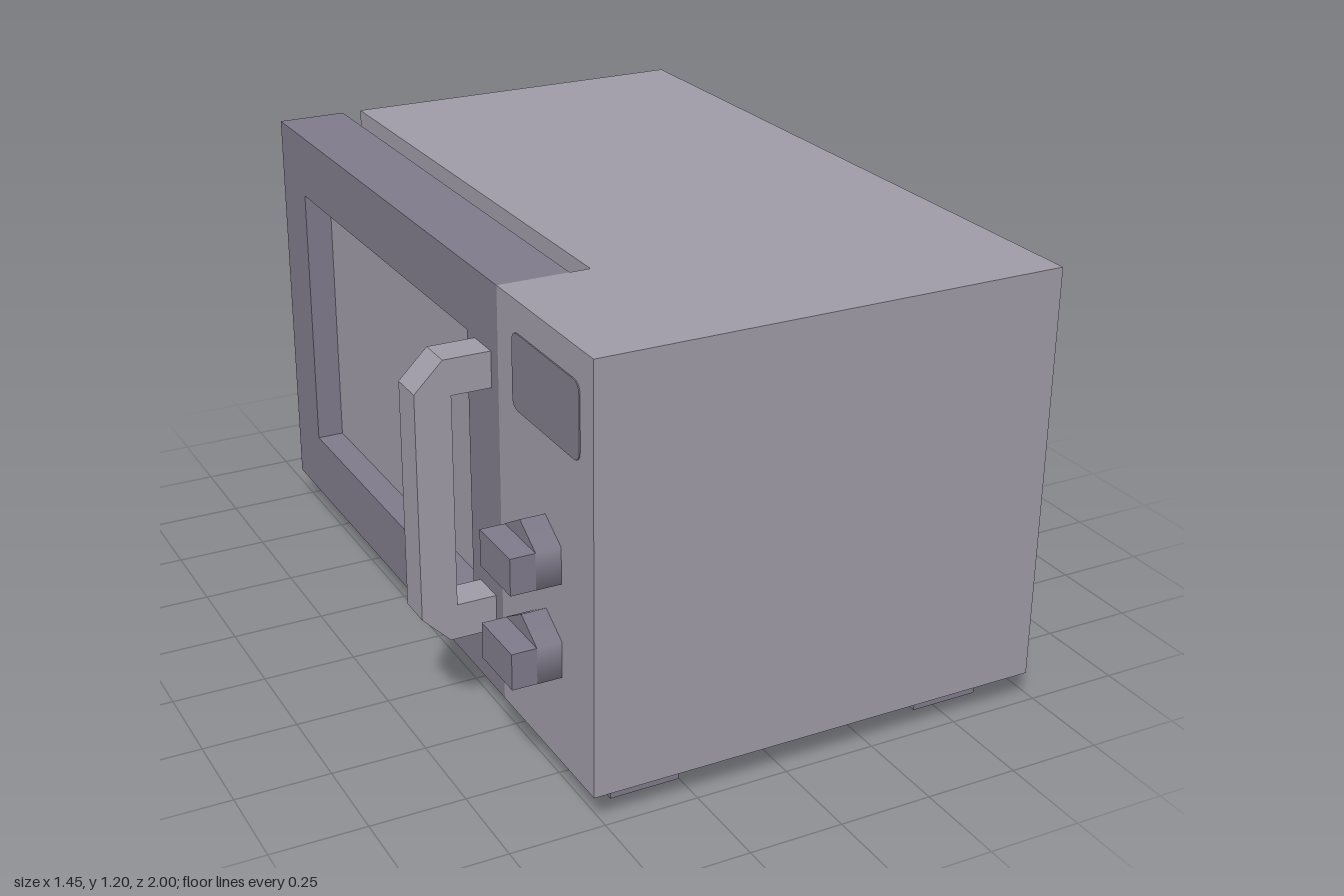
import * as THREE from 'three';

const mat = (name, hex) => {
  const m = new THREE.MeshStandardMaterial({ color: hex });
  m.name = name;
  return m;
};

export function createModel() {
  const group = new THREE.Group();
  const light = mat('lightGrey', 0x9f9ba7);
  const dark = mat('darkGrey', 0x7f7a8a);

  const add = (name, geometry, material) => {
    const mesh = new THREE.Mesh(geometry, material);
    mesh.name = name;
    group.add(mesh);
    return mesh;
  };
  // box from its minimum and maximum corners
  const block = (x0, x1, y0, y1, z0, z1) =>
    new THREE.BoxGeometry(x1 - x0, y1 - y0, z1 - z0)
      .translate((x0 + x1) / 2, (y0 + y1) / 2, (z0 + z1) / 2);
  const polygon = (pts) => new THREE.Shape(pts.map(([a, b]) => new THREE.Vector2(a, b)));
  const rect = (a0, a1, b0, b1) => [[a0, b0], [a1, b0], [a1, b1], [a0, b1]];
  // shape drawn in (z, y), extruded from xBack towards -x
  const panel = (shape, xBack, depth) =>
    new THREE.ExtrudeGeometry(shape, { depth, bevelEnabled: false, curveSegments: 4 })
      .rotateY(-Math.PI / 2).translate(xBack, 0, 0);

  const bottom = 0.085, top = 1.2, face = -0.53, doorBack = -0.34, wall = -0.285;

  // casing: L-shaped plan, with the control column beside the door
  const plan = polygon([[0.72, -1], [0.72, 1], [wall, 1], [wall, -0.5], [face, -0.5], [face, -1]]);
  add('casing', new THREE.ExtrudeGeometry(plan, { depth: top - bottom, bevelEnabled: false })
    .rotateX(-Math.PI / 2).translate(0, bottom, 0), light);

  // door frame with window opening
  const frame = polygon(rect(-1, 0.5, bottom, top));
  frame.holes.push(new THREE.Path(rect(-0.825, 0.32, 0.265, 1.025).map(([a, b]) => new THREE.Vector2(a, b))));
  add('doorFrame', panel(frame, doorBack, doorBack - face), dark);
  add('windowPane', block(-0.455, -0.447, 0.26, 1.03, -0.83, 0.325), light);

  // door back, tapering towards the casing
  const taper = block(doorBack, wall, bottom, top, -1, 0.5);
  const p = taper.attributes.position;
  const midY = (bottom + top) / 2;
  for (let i = 0; i < p.count; i++) {
    if (p.getX(i) > -0.3) {
      p.setY(i, p.getY(i) - Math.sign(p.getY(i) - midY) * 0.06);
      p.setZ(i, p.getZ(i) - Math.sign(p.getZ(i) + 0.25) * 0.06);
    }
  }
  taper.computeVertexNormals();
  add('doorBack', taper, dark);

  // handle: chamfered bracket
  const bracket = polygon([
    [face, 0.265], [-0.655, 0.265], [-0.73, 0.34], [-0.73, 0.945], [-0.655, 1.02], [face, 1.02],
    [face, 0.925], [-0.635, 0.925], [-0.635, 0.36], [face, 0.36],
  ]);
  add('handle', new THREE.ExtrudeGeometry(bracket, { depth: 0.095, bevelEnabled: false })
    .translate(0, 0, 0.365), light);

  // display with rounded corners
  const [z0, z1, y0, y1, r] = [0.585, 0.935, 0.925, 1.12, 0.03];
  const screen = new THREE.Shape();
  screen.moveTo(z0 + r, y0);
  screen.lineTo(z1 - r, y0);
  screen.quadraticCurveTo(z1, y0, z1, y0 + r);
  screen.lineTo(z1, y1 - r);
  screen.quadraticCurveTo(z1, y1, z1 - r, y1);
  screen.lineTo(z0 + r, y1);
  screen.quadraticCurveTo(z0, y1, z0, y1 - r);
  screen.lineTo(z0, y0 + r);
  screen.quadraticCurveTo(z0, y0, z0 + r, y0);
  add('display', panel(screen, face, 0.003), dark);

  // knobs: six-sided base with a grip bar
  for (const y of [0.622, 0.372]) {
    add('knobBase', new THREE.CylinderGeometry(0.097, 0.097, 0.065, 6, 1, false, Math.PI / 6)
      .rotateZ(Math.PI / 2).translate(-0.5625, y, 0.75), dark);
    add('knobGrip', block(-0.66, -0.595, y - 0.048, y + 0.048, 0.666, 0.834), dark);
  }

  // feet
  for (const x of [-0.345, 0.535]) {
    for (const z of [-0.813, 0.813]) {
      add('foot', block(x - 0.094, x + 0.094, 0, bottom, z - 0.094, z + 0.094), dark);
    }
  }
  return group;
}
